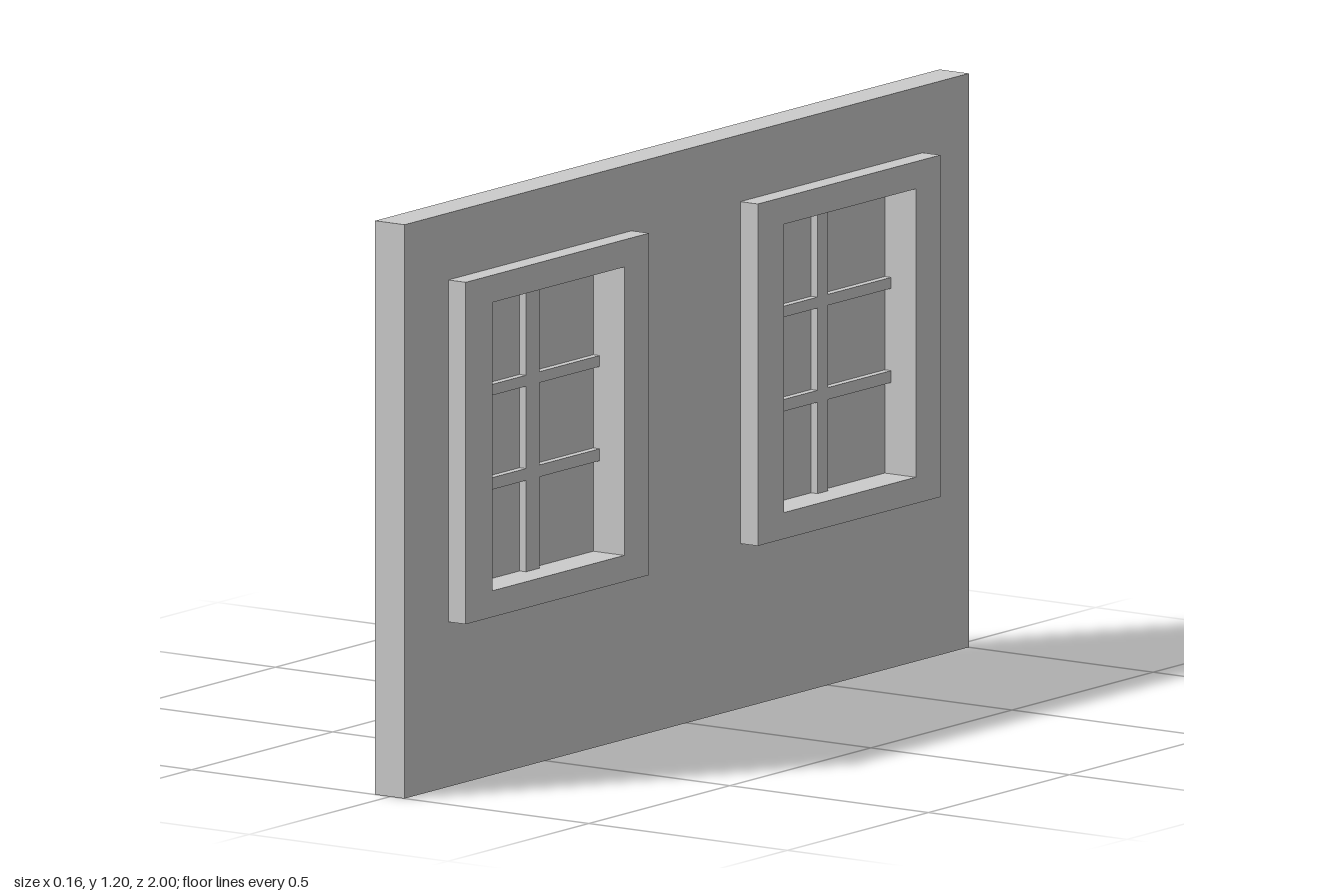
import * as THREE from 'three';

const material = new THREE.MeshStandardMaterial({ color: 0xcccccc });

// Rectangles are [z0, z1, y0, y1] in the plane of the wall.
function trace(path, [z0, z1, y0, y1]) {
  path.moveTo(z0, y0);
  path.lineTo(z1, y0);
  path.lineTo(z1, y1);
  path.lineTo(z0, y1);
  path.closePath();
  return path;
}

// Flat slab with rectangular holes, between x0 and x1
function slab(name, outer, holes, x0, x1) {
  const shape = trace(new THREE.Shape(), outer);
  for (const hole of holes) shape.holes.push(trace(new THREE.Path(), hole));
  const geometry = new THREE.ExtrudeGeometry(shape, { depth: x1 - x0, bevelEnabled: false });
  geometry.rotateY(-Math.PI / 2);
  geometry.translate(x1, 0, 0);
  const mesh = new THREE.Mesh(geometry, material);
  mesh.name = name;
  return mesh;
}

const inset = ([z0, z1, y0, y1], d) => [z0 + d, z1 - d, y0 + d, y1 - d];

const windows = [
  { name: 'frontWindow', frame: [0.195, 0.845, 0.345, 1.06], opening: [0.283, 0.75, 0.4, 1.003], bar: [0.497, 0.544] },
  { name: 'backWindow', frame: [-0.837, -0.19, 0.345, 1.06], opening: [-0.75, -0.283, 0.4, 1.003], bar: [-0.526, -0.489] },
];
const rails = [[0.591, 0.616], [0.788, 0.811]];

export function createModel() {
  const model = new THREE.Group();
  model.name = 'wallWithWindows';

  // Wall, its holes hidden inside the frames
  model.add(slab('wall', [-1, 1, 0, 1.2], windows.map((w) => inset(w.opening, -0.02)), -0.038, 0.036));

  for (const { name, frame, opening, bar } of windows) {
    const group = new THREE.Group();
    group.name = name;
    const [z0, z1, y0, y1] = opening;

    // Frame stands proud of both wall faces
    group.add(slab('frame', frame, [opening], -0.082, 0.08));

    // Thin pane in the middle of the opening
    group.add(slab('pane', inset(opening, -0.01), [], -0.004, 0.002));

    // Glazing bars, flush with each other
    group.add(slab('verticalBar', [bar[0], bar[1], y0, y1], [], -0.02, 0.018));
    for (const [r0, r1] of rails) {
      group.add(slab('horizontalBar', [z0, bar[0], r0, r1], [], -0.02, 0.018));
      group.add(slab('horizontalBar', [bar[1], z1, r0, r1], [], -0.02, 0.018));
    }
    model.add(group);
  }
  return model;
}
